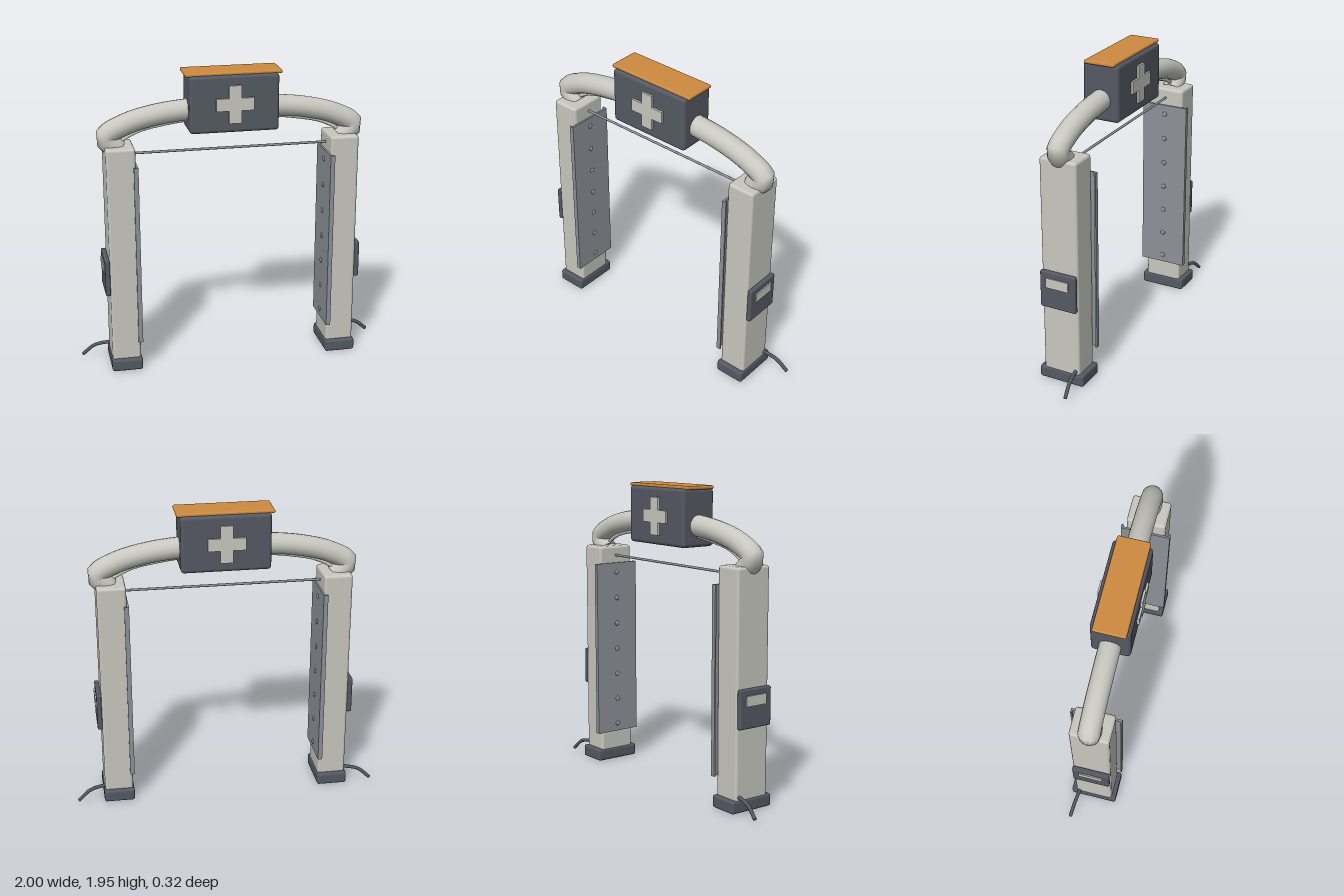
import * as THREE from 'three';
import { RoundedBoxGeometry } from 'three/addons/geometries/RoundedBoxGeometry.js';

const mat = (name, color, side = THREE.FrontSide) => {
  const m = new THREE.MeshStandardMaterial({ color, side });
  m.name = name;
  return m;
};

export function createModel() {
  const shell = mat('warm light grey', 0xc8c8c0, THREE.DoubleSide);
  const dark = mat('charcoal', 0x555962);
  const metal = mat('steel grey', 0x8d9299);
  const orange = mat('orange', 0xcd8a40);

  const model = new THREE.Group();
  model.name = 'walkThroughGate';

  const add = (parent, name, geometry, material, x = 0, y = 0, z = 0) => {
    const mesh = new THREE.Mesh(geometry, material);
    mesh.name = name;
    mesh.position.set(x, y, z);
    parent.add(mesh);
    return mesh;
  };
  const box = (w, h, d) => new THREE.BoxGeometry(w, h, d);
  const rounded = (w, h, d, r) => new RoundedBoxGeometry(w, h, d, 2, r);
  const tube = (points, segments, radius, sides) => new THREE.TubeGeometry(
    new THREE.CatmullRomCurve3(points.map((p) => new THREE.Vector3(...p))), segments, radius, sides);
  // Mirrors a half path that ends on the centre line
  const arch = (half) => [...half, ...half.slice(0, -1).reverse().map(([x, y, z]) => [-x, y, z])];

  // The two side columns, s = 1 on the model's left
  for (const s of [1, -1]) {
    const column = new THREE.Group();
    column.name = s > 0 ? 'leftColumn' : 'rightColumn';
    model.add(column);

    add(column, 'post', rounded(0.185, 1.46, 0.25, 0.018), shell, s * 0.72, 0.77);
    add(column, 'foot', rounded(0.2, 0.08, 0.31, 0.015), dark, s * 0.72, 0.04);

    // Inner panel with folded lips and a row of domed sensors
    add(column, 'innerPanel', box(0.013, 1.185, 0.32), metal, s * 0.6235, 0.793);
    for (const z of [-0.155, 0.155]) {
      add(column, 'panelLip', box(0.028, 1.185, 0.01), metal, s * 0.632, 0.793, z);
    }
    for (let i = 0; i < 7; i++) {
      const sensor = add(column, 'sensorDome', new THREE.SphereGeometry(0.017, 12, 8), metal,
        s * 0.617, 0.253 + i * 0.178);
      sensor.scale.x = 0.5;
    }

    // Outer control unit with a small display
    add(column, 'controlUnit', rounded(0.032, 0.245, 0.245, 0.01), dark, s * 0.827, 0.648);
    add(column, 'display', box(0.009, 0.065, 0.155), shell, s * 0.846, 0.698);

    // Cable drooping to the floor
    add(column, 'cable', tube([
      [s * 0.78, 0.1, -0.095], [s * 0.83, 0.098, -0.102],
      [s * 0.91, 0.08, -0.113], [s * 0.99, 0.014, -0.125],
    ], 16, 0.012, 8), dark);
    const tip = add(column, 'cableTip', new THREE.CircleGeometry(0.012, 8), dark, s * 0.99, 0.014, -0.125);
    tip.lookAt(s * 1.07, -0.06, -0.137);
  }

  // Main arch, kinked outward over each post
  add(model, 'archTube', tube(arch([
    [-0.73, 1.47, 0], [-0.8, 1.55, 0], [-0.68, 1.625, 0],
    [-0.49, 1.677, 0], [-0.27, 1.703, 0], [0, 1.715, 0],
  ]), 64, 0.068, 16), shell);

  // Slim conduit below the arch
  add(model, 'conduit', tube(arch([
    [-0.73, 1.49, 0], [-0.69, 1.53, 0], [-0.58, 1.583, 0],
    [-0.43, 1.615, 0], [-0.27, 1.635, 0], [0, 1.65, 0],
  ]), 48, 0.012, 8), shell);

  // Cross bar between the posts
  const bar = add(model, 'crossBar', new THREE.CylinderGeometry(0.008, 0.008, 1.27, 10), metal, 0, 1.437);
  bar.rotation.z = Math.PI / 2;

  // Head unit with lid
  add(model, 'headBox', rounded(0.57, 0.365, 0.245, 0.022), dark, 0, 1.75);
  add(model, 'lid', rounded(0.615, 0.024, 0.205, 0.01), orange, 0, 1.938);

  // Plus-shaped plates, front and back
  const a = 0.04, b = 0.12;
  const plus = new THREE.Shape([
    [a, -b], [a, -a], [b, -a], [b, a], [a, a], [a, b],
    [-a, b], [-a, a], [-b, a], [-b, -a], [-a, -a], [-a, -b],
  ].map(([x, y]) => new THREE.Vector2(x, y)));
  const plusPlate = new THREE.ExtrudeGeometry(plus, { depth: 0.014, bevelEnabled: false });
  add(model, 'frontCross', plusPlate, shell, 0, 1.75, 0.122);
  add(model, 'backCross', plusPlate, shell, 0, 1.75, -0.136);

  return model;
}
